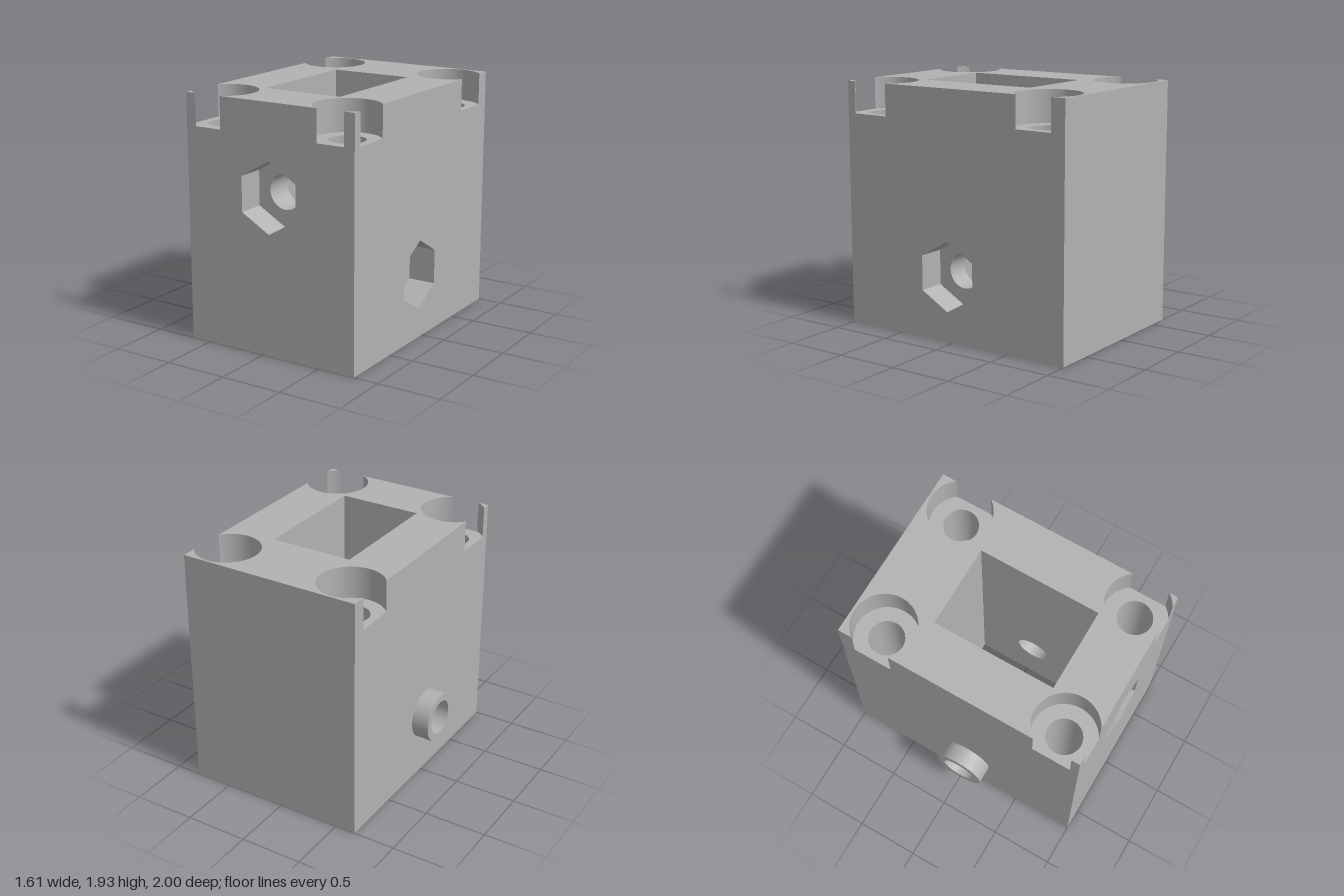
import * as THREE from 'three';

// Block extents, central window and hole sizes
const L = -0.665, R = 0.8, H = 1.935, B = -1, F = 1, LEDGE = 1.685;
const WL = -0.265, WR = 0.4, WB = -0.43, WF = 0.56;
const HOLE = 0.137, BORE = 0.25, HEX = 0.275, POCKET = 0.22, TUBE = 0.197, TUBE_END = -0.805;
const XL = -0.469, XR = 0.601, ZB = -0.732, ZF = 0.777;   // corner bolt positions
const FRONT_HOLE = [0.067, 1.225], SIDE_HOLE = [0.048, 0.51]; // (x, y) and (z, y)
const PI = Math.PI, SEG = 48;

// Points along an arc from angle a0 to a1
function arc(cx, cy, r, a0, a1, n = SEG) {
  return Array.from({ length: n + 1 }, (_, i) => {
    const a = a0 + (a1 - a0) * i / n;
    return [cx + r * Math.cos(a), cy + r * Math.sin(a)];
  });
}
const circle = ([x, y], r, n = SEG) => arc(x, y, r, PI / 2, PI / 2 + 2 * PI, n).slice(0, n);
const rect = (a, b, c, d) => [[a, c], [b, c], [b, d], [a, d]];

// Rectangle with square notches in its top edge; notches run from high u to low u
function notched(u0, u1, notches) {
  const p = [[u0, 0], [u1, 0], [u1, H]];
  for (const [c, w] of notches) p.push([c + w, H], [c + w, LEDGE], [c - w, LEDGE], [c - w, H]);
  return [...p, [u0, H]];
}

// Turn a surface inside out
function flip(g) {
  g.index.array.reverse();
  const n = g.attributes.normal.array;
  for (let i = 0; i < n.length; i++) n[i] = -n[i];
  return g;
}

export function createModel() {
  const group = new THREE.Group();
  const grey = new THREE.MeshStandardMaterial({ color: 0xb2b2b2 });
  grey.name = 'grey';

  function add(name, geometry) {
    const mesh = new THREE.Mesh(geometry, grey);
    mesh.name = name;
    group.add(mesh);
  }

  // Flat face across an axis; points are (z,y) for x, (x,z) for y, (x,y) for z
  function panel(name, axis, at, sign, outline, holes = []) {
    const vec = pts => pts.map(p => new THREE.Vector2(...p));
    const shape = new THREE.Shape(vec(outline));
    shape.holes = holes.map(h => new THREE.Path(vec(h)));
    const X = new THREE.Vector3(1, 0, 0), Y = new THREE.Vector3(0, 1, 0), Z = new THREE.Vector3(0, 0, 1);
    const [u, v] = { x: [Z, Y], y: [X, Z], z: [X, Y] }[axis];
    const g = new THREE.ShapeGeometry(shape);
    g.applyMatrix4(new THREE.Matrix4().makeBasis(u, v, u.clone().cross(v)));
    if ((axis === 'z') !== (sign > 0)) flip(g);
    const pos = new THREE.Vector3();
    pos[axis] = at;
    add(name, g.translate(pos.x, pos.y, pos.z));
  }

  // Open round or hexagonal wall along an axis, facing inward unless outward is set
  function bore(name, axis, from, to, [u, v], r, { sides = SEG, outward = false, start = 0, sweep = 2 * PI } = {}) {
    let g = new THREE.CylinderGeometry(r, r, to - from, sides, 1, true, start, sweep);
    if (!outward) flip(g);
    if (sides === 6) {
      g = g.toNonIndexed();
      g.computeVertexNormals();
    }
    const mid = (from + to) / 2;
    if (axis !== 'y') g.rotateX(PI / 2);
    if (axis === 'x') g.rotateY(PI / 2);
    if (axis === 'x') g.translate(mid, v, u);
    if (axis === 'y') g.translate(u, mid, v);
    if (axis === 'z') g.translate(u, v, mid);
    add(name, g);
  }

  // Counterbores break out through the sides: keep only the arcs inside the block
  const aR = Math.acos((R - XR) / BORE), aL = Math.acos((XL - L) / BORE), aF = Math.asin((F - ZF) / BORE);
  const corners = [
    { x: XR, z: ZB, arcs: [[-aR, aR - 2 * PI]] },
    { x: XR, z: ZF, arcs: [[-aR, -PI - aF], [aF, aR]], tip: [R, F] },
    { x: XL, z: ZF, arcs: [[aF, aL - PI], [PI - aL, PI - aF]], tip: [L, F] },
    { x: XL, z: ZB, arcs: [[PI - aL, aL - PI]] },
  ];
  const topOutline = [[L, B], [R, B]];
  for (const { x, z, arcs, tip } of corners) {
    const curves = arcs.map(([a, b]) => arc(x, z, BORE, a, b));
    topOutline.push(...curves[0]);
    if (tip) panel('cornerPostTop', 'y', H, 1, [...curves[1], tip]);
    panel('counterboreLedge', 'y', LEDGE, 1, curves.flat(), [circle([x, z], HOLE)]);
    for (const [a, b] of arcs)
      bore('counterboreWall', 'y', LEDGE, H, [x, z], BORE, { start: PI / 2 - a, sweep: a - b });
    bore('boltHole', 'y', 0, LEDGE, [x, z], HOLE);
  }

  // Top and bottom faces
  const windowRect = rect(WL, WR, WB, WF);
  panel('topFace', 'y', H, 1, topOutline, [windowRect]);
  panel('bottomFace', 'y', 0, -1, rect(L, R, B, F),
    [windowRect, ...corners.map(c => circle([c.x, c.z], HOLE))]);

  // Outer side faces
  const wR = BORE * Math.sin(aR), wL = BORE * Math.sin(aL), wF = BORE * Math.cos(aF);
  panel('frontFace', 'z', F, 1, notched(L, R, [[XR, wF], [XL, wF]]), [circle(FRONT_HOLE, HEX, 6)]);
  panel('backFace', 'z', B, -1, rect(L, R, 0, H));
  panel('leftFace', 'x', R, 1, notched(B, F, [[ZF, wR], [ZB, wR]]), [circle(SIDE_HOLE, HEX, 6)]);
  panel('rightFace', 'x', L, -1, notched(B, F, [[ZF, wL], [ZB, wL]]), [circle(SIDE_HOLE, TUBE)]);

  // Walls of the central window
  panel('windowFrontWall', 'z', WF, -1, rect(WL, WR, 0, H), [circle(FRONT_HOLE, HOLE)]);
  panel('windowBackWall', 'z', WB, 1, rect(WL, WR, 0, H));
  panel('windowLeftWall', 'x', WR, -1, rect(WB, WF, 0, H), [circle(SIDE_HOLE, HOLE)]);
  panel('windowRightWall', 'x', WL, 1, rect(WB, WF, 0, H), [circle(SIDE_HOLE, HOLE)]);

  // Hexagonal nut pockets with round holes into the window
  for (const [axis, face, inner, c] of [['z', F, WF, FRONT_HOLE], ['x', R, WR, SIDE_HOLE]]) {
    bore('nutPocketWall', axis, face - POCKET, face, c, HEX, { sides: 6 });
    panel('nutPocketFloor', axis, face - POCKET, 1, circle(c, HEX, 6), [circle(c, HOLE)]);
    bore('nutHole', axis, inner, face - POCKET, c, HOLE);
  }

  // Tube standing out from the right face
  bore('tubeOuter', 'x', TUBE_END, L, SIDE_HOLE, TUBE, { outward: true });
  bore('tubeBore', 'x', TUBE_END, WL, SIDE_HOLE, HOLE);
  panel('tubeEnd', 'x', TUBE_END, -1, circle(SIDE_HOLE, TUBE), [circle(SIDE_HOLE, HOLE)]);

  return group;
}
